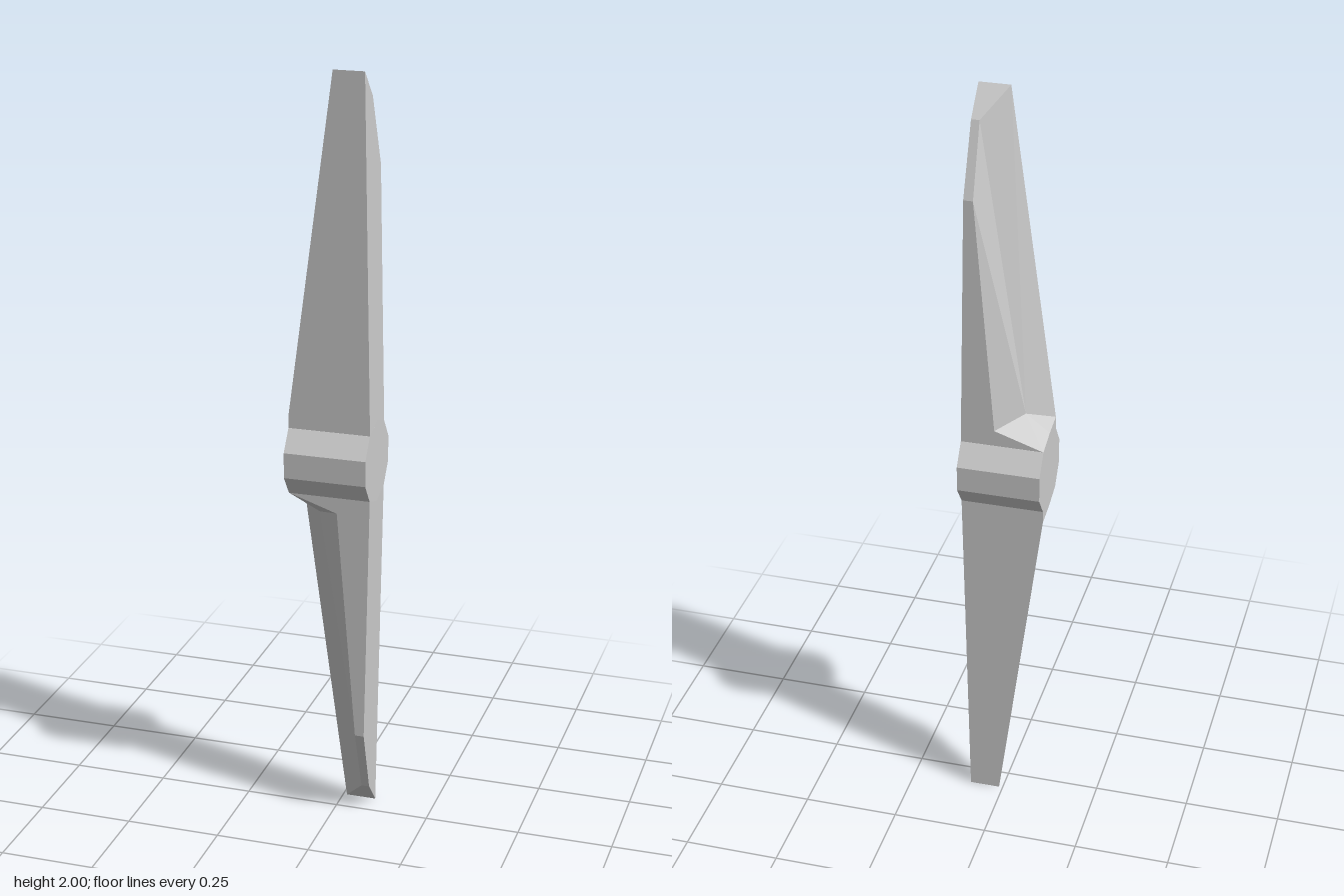
import * as THREE from 'three';

const grey = new THREE.MeshStandardMaterial({ color: 0xcccccc, flatShading: true });

// Flat-shaded geometry from convex polygons, each a fan of named corners
function polygons(p, faces) {
  const pos = [];
  for (const face of faces) {
    const c = face.split(' ').map((name) => p[name]);
    for (let i = 1; i < c.length - 1; i++) pos.push(...c[0], ...c[i], ...c[i + 1]);
  }
  const g = new THREE.BufferGeometry();
  g.setAttribute('position', new THREE.Float32BufferAttribute(pos, 3));
  g.computeVertexNormals();
  return g;
}

const W = 0.107, R = 0.108, D = 0.063;     // hub half width, hub radius, blade half depth
const H = R * Math.sin(Math.PI * 0.3);     // height where blade meets hub

function bladeGeometry() {
  const p = {
    // hub joint, left and right ends (front, top, back)
    hf: [-W, H, D], ht: [-W, R, 0], hb: [-W, H, -D],
    rf: [W, H, D], rt: [W, R, 0], rb: [W, H, -D],
    // bevelled edge at the root and at the tip
    a0: [-W, 0.12, D], m0: [-0.045, 0.155, 0], b0: [0.02, 0.13, -D],
    a1: [0.01, 1, D], m1: [0.07, 0.93, 0], b1: [0.07, 0.75, -D],
    // straight edge at the tip
    cf: [0.09, 1, D], cm: [0.091, 0.93, 0], cb: [0.094, 0.75, -D],
  };
  return polygons(p, [
    'hf rf cf a1 a0',             // front
    'rt rb cb cm cf rf',          // straight side
    'rb hb b0 b1 cb',             // back
    'a1 cf cm m1', 'm1 cm cb b1', // tip
    'm0 a0 a1 m1', 'b0 m0 b1', 'm0 m1 b1', // bevel
    'ht a0 m0', 'hb ht m0 b0', 'hf a0 ht', // shoulder
  ]);
}

export function createModel() {
  const model = new THREE.Group();
  model.name = 'propeller';

  // Ten-sided hub lying along x
  const hubGeo = new THREE.CylinderGeometry(R, R, W * 2, 10, 1, false, Math.PI / 10);
  hubGeo.rotateZ(Math.PI / 2);
  const hub = new THREE.Mesh(hubGeo, grey);
  hub.name = 'hub';
  hub.position.y = 1;
  model.add(hub);

  // Two identical blades, half a turn apart
  const geo = bladeGeometry();
  ['upperBlade', 'lowerBlade'].forEach((name, i) => {
    const blade = new THREE.Mesh(geo, grey);
    blade.name = name;
    blade.position.y = 1;
    blade.rotation.x = i * Math.PI;
    model.add(blade);
  });
  return model;
}
